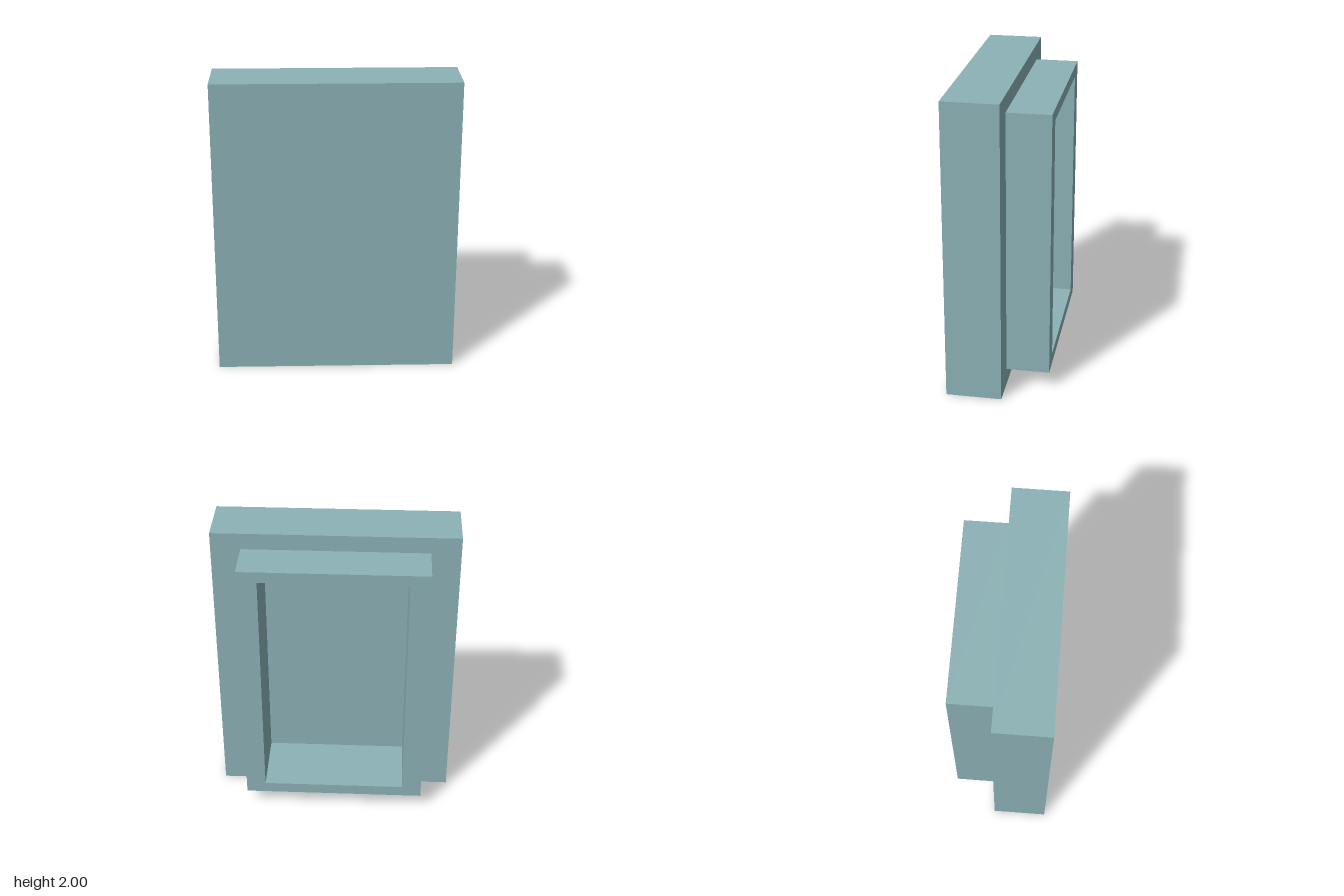
import * as THREE from 'three';

// Flat-sided surface through rectangular sections {w, y0, y1, z}, running from front to back
function loft(sections, capStart, capEnd) {
  const loops = sections.map(({ w, y0, y1, z }) => [
    [-w, y0, z], [w, y0, z], [w, y1, z], [-w, y1, z],
  ]);
  const positions = [];
  const quad = (a, b, c, d) => positions.push(...a, ...b, ...c, ...a, ...c, ...d);
  for (let s = 0; s < loops.length - 1; s++) {
    for (let i = 0; i < 4; i++) {
      const j = (i + 1) % 4;
      quad(loops[s][i], loops[s + 1][i], loops[s + 1][j], loops[s][j]);
    }
  }
  if (capStart) quad(...loops[0]);
  if (capEnd) quad(...loops[loops.length - 1].slice().reverse());
  const geometry = new THREE.BufferGeometry();
  geometry.setAttribute('position', new THREE.Float32BufferAttribute(positions, 3));
  geometry.computeVertexNormals();
  return geometry;
}

export function createModel() {
  const model = new THREE.Group();
  model.name = 'panelHousing';
  const paleTeal = new THREE.MeshStandardMaterial({ color: 0x8cb2b6 });
  paleTeal.name = 'paleTeal';

  const front = 0.325, step = -0.04, back = -0.325, floor = 0.12;
  const slab = { w: 0.797, y0: 0, y1: 2 };
  const rim = { w: 0.605, y0: 0.115, y1: 1.89 };
  const opening = { w: 0.475, y0: 0.19, y1: 1.815 };

  const add = (name, geometry) => {
    const mesh = new THREE.Mesh(geometry, paleTeal);
    mesh.name = name;
    model.add(mesh);
  };

  // Front slab with the ledge around the rim
  add('frontSlab', loft([
    { ...slab, z: front }, { ...slab, z: step }, { ...rim, z: step },
  ], true, false));

  // Raised rim on the back
  add('backRim', loft([
    { ...rim, z: step }, { ...rim, z: back }, { ...opening, z: back },
  ], false, false));

  // Pocket reaching through the rim into the slab
  add('pocket', loft([
    { ...opening, z: back }, { ...opening, z: floor },
  ], false, true));

  return model;
}
